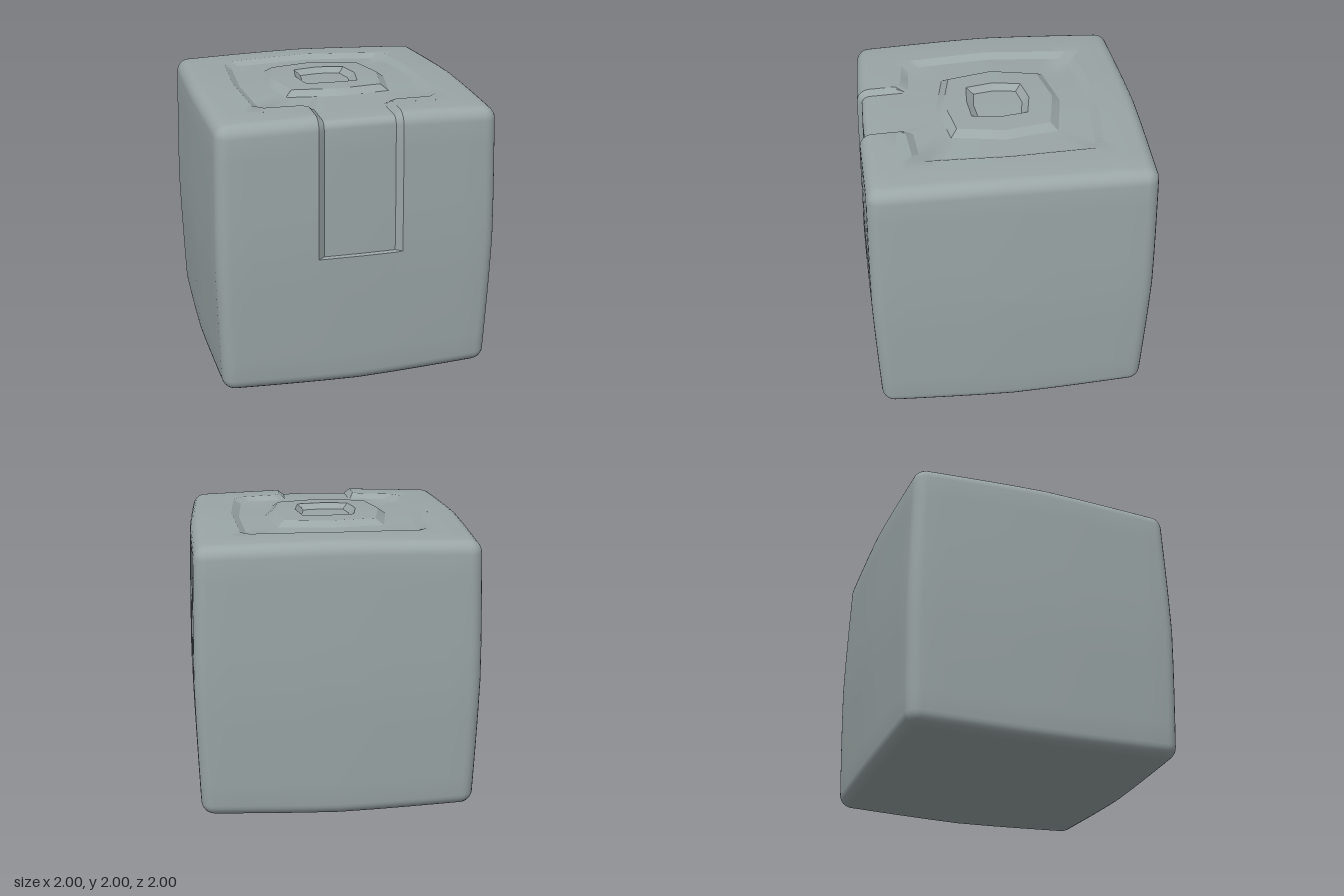
import * as THREE from 'three';
import { toCreasedNormals } from 'three/addons/utils/BufferGeometryUtils.js';

const RADIUS = 0.09; // edge rounding
const BULGE = 0.025; // how far each face swells at its middle
const DEPTH = 0.035; // groove depth
const PATCH = 0.75; // half width of the ringed area on top
const SLOT_TOP = 0.3, SLOT_FLOOR = 0.255;

const clamp = THREE.MathUtils.clamp;

// Maps a point on a cube of half size 1 to the swollen, rounded block
function surface(q, depth = 0) {
  const lim = 1 - RADIUS;
  const core = q.clone().clampScalar(-lim, lim);
  const p = q.clone().sub(core).normalize().multiplyScalar(RADIUS - depth).add(core);
  const [a, b, c] = p.toArray().map((t) => BULGE * Math.abs(t) ** 1.3);
  return new THREE.Vector3(p.x * (1 - b - c), p.y * (1 - a - c) + 1, p.z * (1 - a - b));
}

// Depth of the straight slot running over the front edge
function slotDepth(q) {
  const onFront = q.z > 0.999 && q.y > 0.002;
  const onTop = q.y > 0.999 && q.z > PATCH - 1e-4;
  return onFront || onTop
    ? DEPTH * clamp((SLOT_TOP - Math.abs(q.x)) / (SLOT_TOP - SLOT_FLOOR), 0, 1) : 0;
}

// Grid lines, packed evenly by angle around the rounded edges
const half = [SLOT_FLOOR, SLOT_TOP, 0.52, PATCH];
for (let k = 0; k <= 3; k++) half.push(1 - RADIUS + RADIUS * Math.tan(k * Math.PI / 12));
const lines = [...half.map((t) => -t).reverse(), 0, ...half];
const frontLines = [...lines, 0.004].sort((a, b) => a - b);

function pushQuad(out, a, b, c, d) {
  for (const tri of [[a, b, c], [a, c, d]]) {
    const [p, q, r] = tri;
    const area = q.clone().sub(p).cross(r.clone().sub(p)).length();
    if (area > 1e-8) tri.forEach((t) => out.push(t.x, t.y, t.z));
  }
}

function addFace(out, map, skip = () => false) {
  const at = (u, v) => {
    const q = new THREE.Vector3(...map(u, v));
    return surface(q, slotDepth(q));
  };
  for (let i = 0; i < lines.length - 1; i++) {
    for (let j = 0; j < frontLines.length - 1; j++) {
      const [u0, u1, v0, v1] = [lines[i], lines[i + 1], frontLines[j], frontLines[j + 1]];
      if (skip((u0 + u1) / 2, (v0 + v1) / 2)) continue;
      pushQuad(out, at(u0, v0), at(u1, v0), at(u1, v1), at(u0, v1));
    }
  }
}

// Closed outline mirrored across x, from half outline points (x, z), front to back
const mirror = (pts) => [...pts, ...pts.filter((p) => p[0] > 0).reverse().map(([x, z]) => [-x, z])];

// Top outlines from the centre outwards, with their depth
const contours = [
  [DEPTH, [[0, 0.17], [0.15, 0.155], [0.175, 0], [0.15, -0.155], [0, -0.18]]],
  [-0.003, [[0, 0.22], [0.19, 0.205], [0.225, 0], [0.19, -0.195], [0, -0.23]]],
  [-0.003, [[0, 0.385], [0.33, 0.325], [0.395, 0], [0.33, -0.335], [0, -0.4]]],
  [DEPTH, [[0, 0.44], [0.38, 0.37], [0.45, 0], [0.385, -0.385], [0, -0.455]]],
  [DEPTH, [[0, PATCH], [SLOT_FLOOR, PATCH], [SLOT_FLOOR, 0.67], [0.3, 0.625], [0.54, 0.61], [0.615, 0.53],
    [0.64, 0], [0.61, -0.54], [0.54, -0.62], [0, -0.66]]],
  [0, [[0, PATCH], [SLOT_TOP, PATCH], [SLOT_TOP, 0.72], [0.34, 0.68], [0.6, 0.66], [0.67, 0.59],
    [0.695, 0], [0.66, -0.61], [0.6, -0.67], [0, -0.715]]],
  [0, [[0, PATCH], [PATCH, PATCH], [PATCH, -PATCH], [0, -PATCH]]],
].map(([depth, pts]) => ({ depth, pts: mirror(pts) }));

// Where a ray from the centre meets an outline
function hit(pts, angle) {
  const dx = Math.sin(angle), dz = Math.cos(angle);
  let best = 0;
  pts.forEach(([ax, az], i) => {
    const [bx, bz] = pts[(i + 1) % pts.length];
    const ex = bx - ax, ez = bz - az;
    const det = dx * ez - dz * ex;
    if (Math.abs(det) < 1e-9) return;
    const t = (ax * ez - az * ex) / det;
    const s = (ax * dz - az * dx) / det;
    if (t > 0 && s > -1e-6 && s < 1 + 1e-6) best = Math.max(best, t);
  });
  return [dx * best, dz * best];
}

// Ringed area: raised ring, centre recess and surrounding trench
function addTopPatch(out) {
  const corners = contours.flatMap((c) => c.pts);
  for (const t of lines.filter((l) => Math.abs(l) <= PATCH)) {
    corners.push([t, PATCH], [t, -PATCH], [PATCH, t], [-PATCH, t]);
  }
  const angles = corners.map(([x, z]) => Math.atan2(x, z)).sort((a, b) => a - b)
    .filter((a, i, all) => i === 0 || a - all[i - 1] > 1e-5);
  const loops = contours.map(({ depth, pts }) => angles.map((angle) => {
    const [x, z] = hit(pts, angle);
    const q = new THREE.Vector3(x, 1, z);
    return surface(q, z > PATCH - 1e-4 ? slotDepth(q) : depth);
  }));
  const centre = surface(new THREE.Vector3(0, 1, 0), DEPTH);
  loops.unshift(angles.map(() => centre));
  for (let k = 0; k < loops.length - 1; k++) {
    angles.forEach((_, i) => {
      const j = (i + 1) % angles.length;
      pushQuad(out, loops[k][i], loops[k + 1][i], loops[k + 1][j], loops[k][j]);
    });
  }
}

export function createModel() {
  const group = new THREE.Group();
  group.name = 'groovedBlock';
  const grey = new THREE.MeshStandardMaterial({ color: 0x9aa5a6 });
  grey.name = 'blue grey';

  const out = [];
  addFace(out, (u, v) => [u, v, 1]);
  addFace(out, (u, v) => [-u, v, -1]);
  addFace(out, (u, v) => [1, v, -u]);
  addFace(out, (u, v) => [-1, v, u]);
  addFace(out, (u, v) => [u, -1, v]);
  addFace(out, (u, v) => [u, 1, -v], (u, v) => Math.abs(u) < PATCH && Math.abs(v) < PATCH);
  addTopPatch(out);

  const geometry = new THREE.BufferGeometry();
  geometry.setAttribute('position', new THREE.Float32BufferAttribute(out, 3));
  const block = new THREE.Mesh(toCreasedNormals(geometry, 0.5), grey);
  block.name = 'block';
  group.add(block);
  return group;
}
